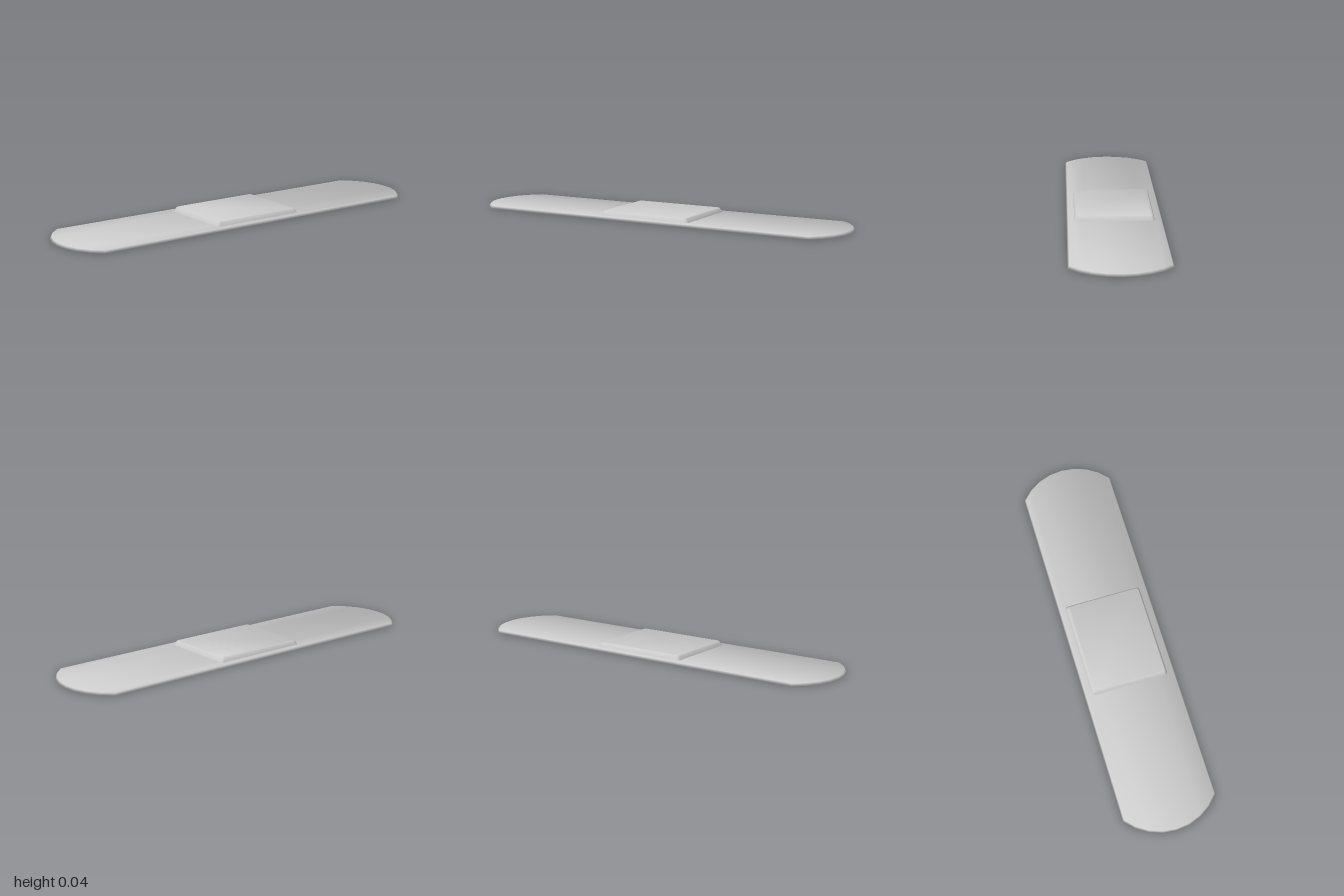
import * as THREE from 'three';

const material = new THREE.MeshStandardMaterial({ color: 0xcccccc });

// Strip outline: straight sides with a shallow circular arc at each end
function stripOutline(halfWidth, halfLength, cornerZ) {
  const sag = halfLength - cornerZ;
  const radius = (halfWidth ** 2 + sag ** 2) / (2 * sag);
  const half = Math.asin(halfWidth / radius);
  const points = [];
  for (const end of [1, -1]) {
    for (let i = 0; i <= 8; i++) {
      const a = half - (2 * half * i) / 8;
      points.push(new THREE.Vector2(
        end * radius * Math.sin(a),
        end * (halfLength - radius + radius * Math.cos(a))));
    }
  }
  return points;
}

// Rectangle with rounded corners
function padOutline(halfWidth, halfLength, radius) {
  const points = [];
  for (let corner = 0; corner < 4; corner++) {
    const sx = corner === 0 || corner === 3 ? 1 : -1;
    const sz = corner < 2 ? 1 : -1;
    for (let i = 0; i <= 4; i++) {
      const a = ((corner + i / 4) * Math.PI) / 2;
      points.push(new THREE.Vector2(
        sx * (halfWidth - radius) + radius * Math.cos(a),
        sz * (halfLength - radius) + radius * Math.sin(a)));
    }
  }
  return points;
}

// Closed solid through stacked outlines, bottom to top. Each ring's normals
// lean outwards from the outline; lift is their vertical share, so that the
// edges shade softly into the flat faces.
function loft(name, rings) {
  const n = rings[0].points.length;
  const positions = [];
  const normals = [];
  const index = [];
  for (const { y, lift, points } of rings) {
    points.forEach((p, i) => {
      const before = p.clone().sub(points[(i + n - 1) % n]).normalize();
      const along = points[(i + 1) % n].clone().sub(p).normalize().add(before).normalize();
      const normal = new THREE.Vector3(along.y, lift, -along.x).normalize();
      positions.push(p.x, y, p.y);
      normals.push(normal.x, normal.y, normal.z);
    });
  }
  // Side walls
  for (let r = 0; r < rings.length - 1; r++) {
    for (let i = 0; i < n; i++) {
      const a = r * n + i, b = r * n + ((i + 1) % n);
      index.push(a, a + n, b, b, a + n, b + n);
    }
  }
  // Bottom and top faces
  const top = (rings.length - 1) * n;
  for (const [a, b, c] of THREE.ShapeUtils.triangulateShape(rings[0].points, [])) {
    index.push(a, b, c, top + a, top + c, top + b);
  }
  const geometry = new THREE.BufferGeometry();
  geometry.setAttribute('position', new THREE.Float32BufferAttribute(positions, 3));
  geometry.setAttribute('normal', new THREE.Float32BufferAttribute(normals, 3));
  geometry.setIndex(index);
  const mesh = new THREE.Mesh(geometry, material);
  mesh.name = name;
  return mesh;
}

export function createModel() {
  const group = new THREE.Group();
  group.name = 'adhesiveBandage';

  // Thin strip with a sloping edge
  group.add(loft('strip', [
    { y: 0, lift: -1, points: stripOutline(0.233, 1, 0.885) },
    { y: 0.013, lift: 1.5, points: stripOutline(0.225, 0.992, 0.88) },
  ]));

  // Raised pad with tapered sides and a softened upper edge
  group.add(loft('pad', [
    { y: 0.012, lift: 0.4, points: padOutline(0.195, 0.245, 0.014) },
    { y: 0.031, lift: 0.8, points: padOutline(0.188, 0.235, 0.014) },
    { y: 0.035, lift: 2.5, points: padOutline(0.184, 0.23, 0.012) },
  ]));

  return group;
}
